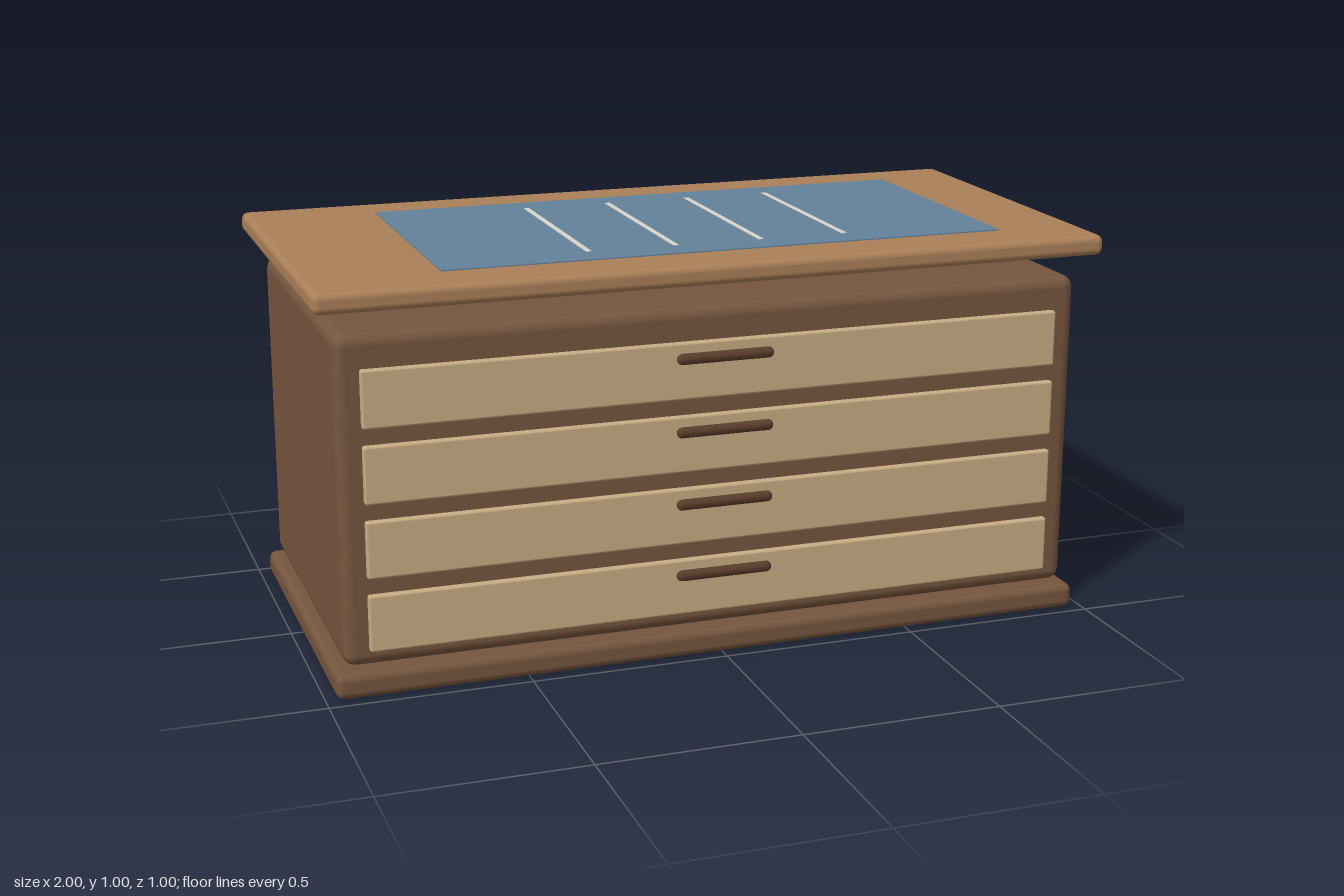
import * as THREE from 'three';
import { RoundedBoxGeometry } from 'three/addons/geometries/RoundedBoxGeometry.js';

const paint = (color) => new THREE.MeshStandardMaterial({ color });

export function createModel() {
  const model = new THREE.Group();
  model.name = 'drawerChest';
  const darkWood = paint(0x76563e), topWood = paint(0xab8059), paleWood = paint(0xc8ac84);
  const handleWood = paint(0x5a3d2b), blue = paint(0x648299), white = paint(0xd8d5cc);

  const add = (name, geometry, material, x, y, z, parent = model) => {
    const mesh = new THREE.Mesh(geometry, material);
    mesh.name = name;
    mesh.position.set(x, y, z);
    parent.add(mesh);
    return mesh;
  };

  // Plinth, cabinet and the raised top board
  add('plinth', new RoundedBoxGeometry(1.95, 0.064, 0.95, 2, 0.02), darkWood, 0, 0.033, 0);
  add('cabinet', new RoundedBoxGeometry(1.9, 0.816, 0.908, 2, 0.03), darkWood, 0, 0.481, 0);
  add('topBoard', new RoundedBoxGeometry(2, 0.052, 1, 2, 0.018), topWood, 0, 0.974, 0);

  // Four drawers, each with a horizontal bar handle
  const frontShape = new RoundedBoxGeometry(1.78, 0.142, 0.04, 2, 0.006);
  const barShape = new THREE.CapsuleGeometry(0.014, 0.22, 4, 10);
  barShape.rotateZ(Math.PI / 2);
  for (let i = 0; i < 4; i++) {
    const drawer = new THREE.Group();
    drawer.name = 'drawer';
    drawer.position.y = 0.185 + i * 0.1835;
    add('drawerFront', frontShape, paleWood, 0, 0, 0.45, drawer);
    add('drawerHandle', barShape, handleWood, 0, 0.032, 0.473, drawer);
    model.add(drawer);
  }

  // Sheet lying on the top, with four pale strips
  add('sheet', new THREE.BoxGeometry(1.445, 0.004, 0.724), blue, 0.053, 1.001, 0);
  const strip = new THREE.BoxGeometry(0.014, 0.003, 0.56);
  for (let i = 0; i < 4; i++) {
    add('sheetStrip', strip, white, -0.283 + i * 0.223, 1.003, 0);
  }
  return model;
}
